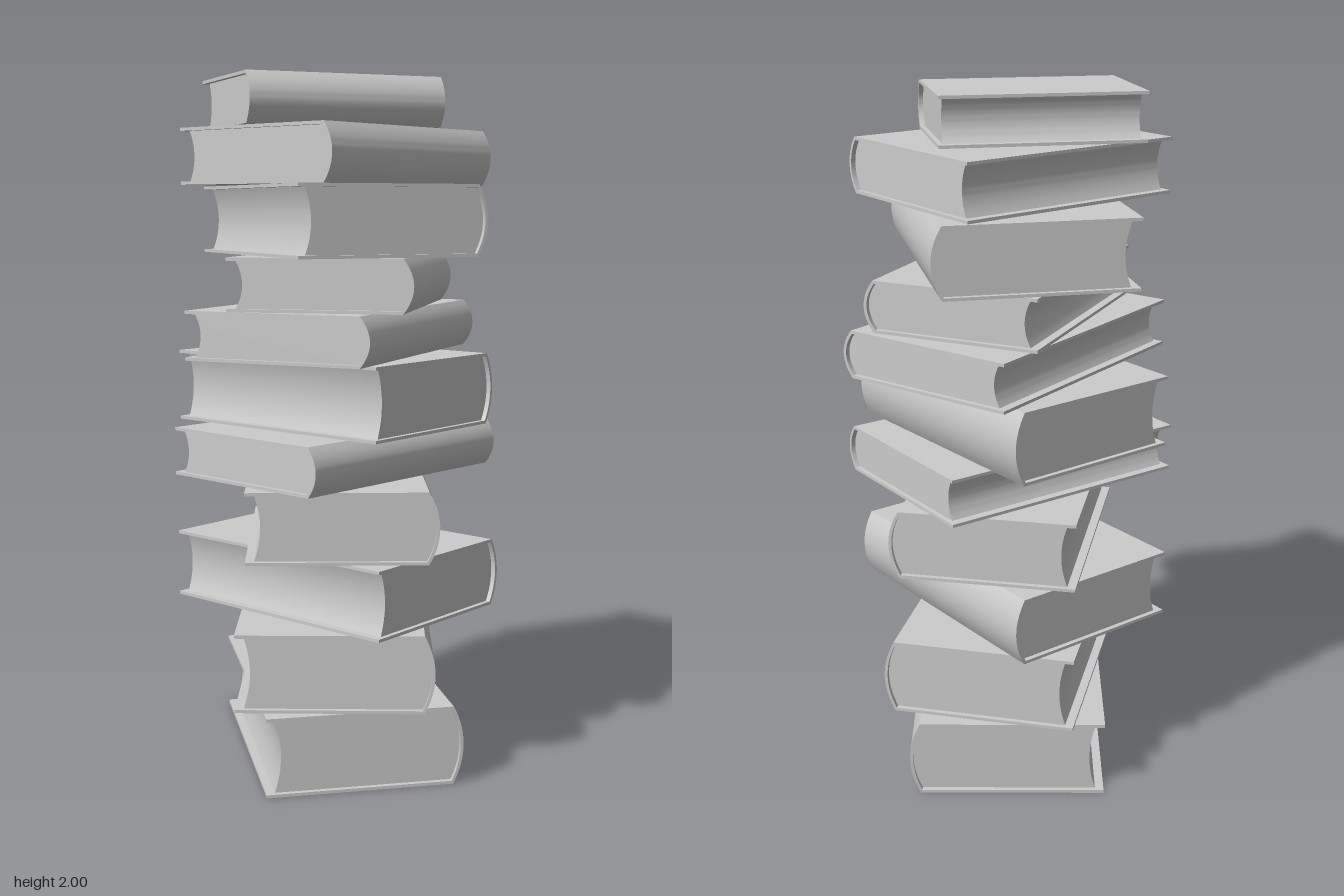
import * as THREE from 'three';
import { toCreasedNormals } from 'three/addons/utils/BufferGeometryUtils.js';

const BOARD = 0.009;      // cover thickness
const BULGE = 0.03;       // how far the rounded spine swells out
const FORE_INSET = 0.025; // pages set back from the cover's open edge
const END_INSET = 0.014;  // pages set back from head and tail

// bottom y, top y, width across, length along the spine, centre x, centre z, turn in degrees
const BOOKS = [
  [0.00, 0.23, 0.57, 0.825, 0.005, -0.012, 0],
  [0.23, 0.455, 0.563, 0.81, 0.003, -0.003, -12.5],
  [0.455, 0.655, 0.56, 0.795, 0.0, -0.004, 37.6],
  [0.655, 0.86, 0.54, 0.78, 0.008, 0.01, -10.5],
  [0.86, 1.00, 0.57, 0.785, 0.0, 0.02, -54.5],
  [1.00, 1.21, 0.55, 0.765, 0.0, -0.028, 38],
  [1.21, 1.35, 0.565, 0.816, 0.001, 0.0, -36],
  [1.35, 1.50, 0.525, 0.71, 0.022, 0.025, -23.7],
  [1.50, 1.70, 0.57, 0.78, 0.005, 0.0, 12],
  [1.70, 1.86, 0.574, 0.713, -0.001, 0.033, -52.4],
  [1.86, 2.00, 0.42, 0.58, -0.056, 0.06, -79],
];

const material = new THREE.MeshStandardMaterial({ color: 0xcccccc });

// Extrude a cross-section along the spine, centred on z
function extrudeMesh(name, shape, length) {
  const geometry = new THREE.ExtrudeGeometry(shape, { depth: length, bevelEnabled: false, curveSegments: 16 });
  geometry.translate(0, 0, -length / 2);
  const mesh = new THREE.Mesh(toCreasedNormals(geometry, 0.5), material);
  mesh.name = name;
  return mesh;
}

function makeBook(width, height, length) {
  const book = new THREE.Group();
  const open = -width / 2, spine = width / 2 - BULGE;
  const low = BOARD, high = height - BOARD, mid = height / 2;

  // Two boards joined by a rounded spine
  const cover = new THREE.Shape();
  cover.moveTo(open, 0);
  cover.lineTo(spine, 0);
  cover.quadraticCurveTo(spine + 2 * BULGE, mid, spine, height);
  cover.lineTo(open, height);
  cover.lineTo(open, high);
  cover.lineTo(spine - BOARD / 2, high);
  cover.quadraticCurveTo(spine - BOARD / 2 + 2 * (BULGE - BOARD / 2), mid, spine - BOARD / 2, low);
  cover.lineTo(open, low);
  cover.closePath();
  book.add(extrudeMesh('cover', cover, length));

  // Page block: rounded at the spine, hollow at the fore edge
  const fore = open + FORE_INSET;
  const pages = new THREE.Shape();
  pages.moveTo(fore, low);
  pages.lineTo(spine - BOARD / 2, low);
  pages.quadraticCurveTo(spine - BOARD / 2 + 2 * (BULGE - BOARD / 2), mid, spine - BOARD / 2, high);
  pages.lineTo(fore, high);
  pages.quadraticCurveTo(fore + 0.036, mid, fore, low);
  book.add(extrudeMesh('pages', pages, length - 2 * END_INSET));
  return book;
}

export function createModel() {
  const stack = new THREE.Group();
  stack.name = 'bookStack';
  BOOKS.forEach(([bottom, top, width, length, x, z, turn], i) => {
    const book = makeBook(width, top - bottom, length);
    book.name = `book${i + 1}`;
    book.position.set(x, bottom, z);
    book.rotation.y = THREE.MathUtils.degToRad(turn);
    stack.add(book);
  });
  return stack;
}
